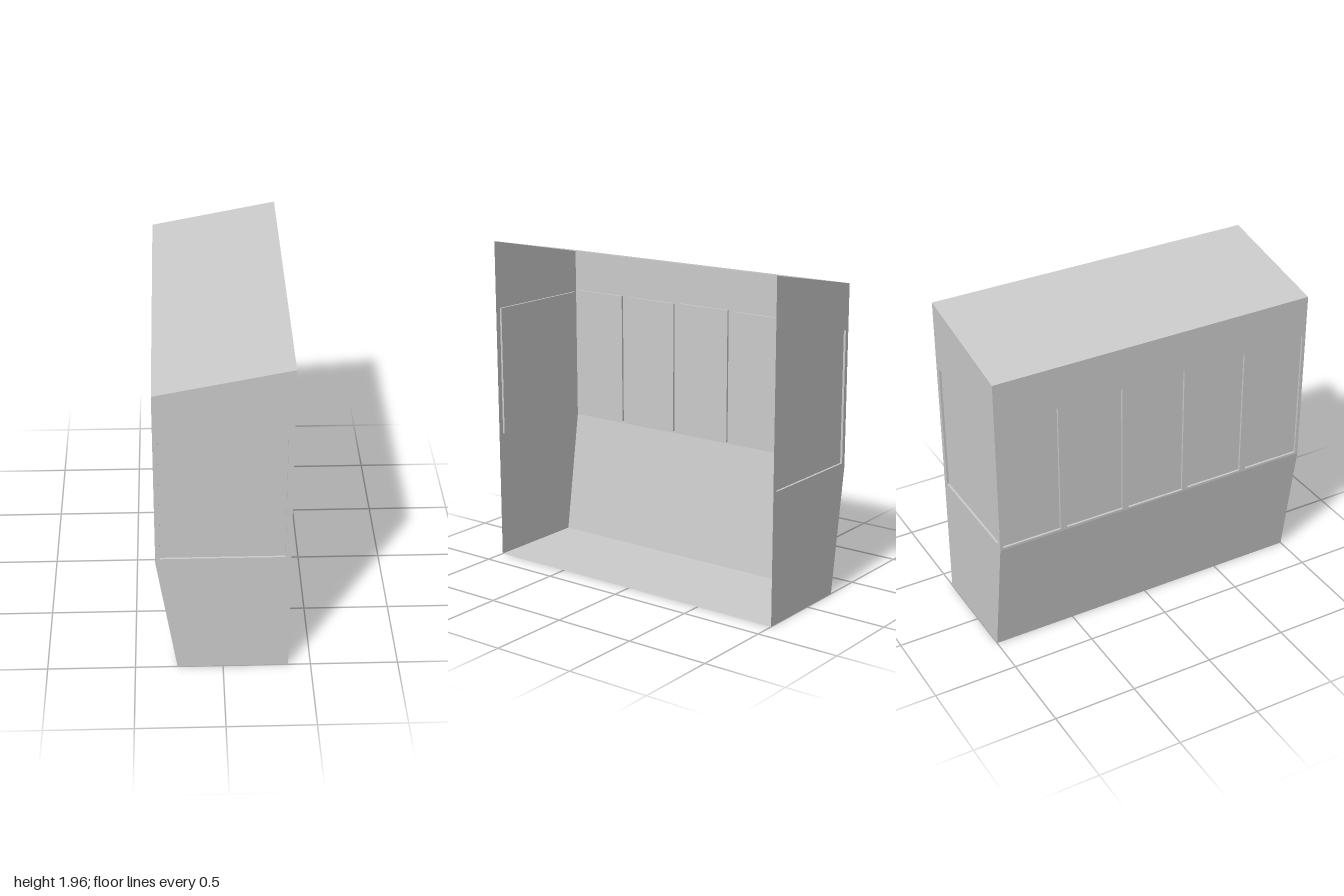
import * as THREE from 'three';

const W = 0.372;      // half width
const L = 1;          // half length
const BEND = 0.745;   // height where the long wall starts to lean in
const FOOT = -0.26;   // x of the long wall at the floor
const LOW = 1.815;    // roof height at the long wall
const HIGH = 1.96;    // roof height at the open side
const DEPTH = 0.013;  // window recess

const material = new THREE.MeshStandardMaterial({
  color: 0xcccccc, flatShading: true, side: THREE.DoubleSide,
});

function add(parent, name, geometry) {
  const mesh = new THREE.Mesh(geometry, material);
  mesh.name = name;
  parent.add(mesh);
  return mesh;
}

const loop = (points) => points.map(([x, y]) => new THREE.Vector2(x, y));

// Flat panel through four corners, counter-clockwise seen from its front
function quad(a, b, c, d) {
  const geometry = new THREE.BufferGeometry();
  geometry.setAttribute('position', new THREE.Float32BufferAttribute([...a, ...b, ...c, ...d], 3));
  geometry.setIndex([0, 1, 2, 0, 2, 3]);
  geometry.computeVertexNormals();
  return geometry;
}

// Wall facing +z with recessed windows, each given by its corner points
function wall(name, outline, windows) {
  const group = new THREE.Group();
  group.name = name;
  const shape = new THREE.Shape(loop(outline));
  windows.forEach((w) => shape.holes.push(new THREE.Path(loop(w))));
  add(group, 'wallPanel', new THREE.ShapeGeometry(shape));

  windows.forEach((w) => {
    const pane = add(group, 'windowPane', new THREE.ShapeGeometry(new THREE.Shape(loop(w))));
    pane.position.z = -DEPTH;
    // Reveals around the pane
    w.forEach((p, i) => {
      const q = w[(i + 1) % w.length];
      add(group, 'windowReveal', quad([...p, -DEPTH], [...q, -DEPTH], [...q, 0], [...p, 0]));
    });
  });
  return group;
}

const rect = (x0, x1, y0, y1) => [[x0, y0], [x1, y0], [x1, y1], [x0, y1]];

export function createModel() {
  const model = new THREE.Group();
  model.name = 'openSidedCabin';

  // End walls, the rear one turned round with its outline mirrored
  const profile = [[FOOT, 0], [W, 0], [W, HIGH], [-W, LOW], [-W, BEND]];
  const endWindow = rect(-0.345, 0.34, 0.772, 1.552);
  const mirror = (points) => points.map(([x, y]) => [-x, y]).reverse();

  const front = wall('frontWall', profile, [endWindow]);
  front.position.z = L;
  const back = wall('backWall', mirror(profile), [mirror(endWindow)]);
  back.rotation.y = Math.PI;
  back.position.z = -L;

  // Long wall with a row of five windows
  const windows = [];
  for (let i = -2; i <= 2; i++) {
    const extra = i === 0 ? 0.004 : 0;
    windows.push(rect(i * 0.4 - 0.18, i * 0.4 + 0.18, 0.76 - extra, 1.562 + extra));
  }
  const side = wall('sideWall', rect(-L, L, BEND, LOW), windows);
  side.rotation.y = -Math.PI / 2;
  side.position.x = -W;
  model.add(front, back, side);

  // Leaning lower wall, floor and sloping roof
  add(model, 'lowerSideWall', quad([FOOT, 0, -L], [FOOT, 0, L], [-W, BEND, L], [-W, BEND, -L]));
  add(model, 'floor', quad([FOOT, 0, -L], [W, 0, -L], [W, 0, L], [FOOT, 0, L]));
  add(model, 'roof', quad([-W, LOW, L], [W, HIGH, L], [W, HIGH, -L], [-W, LOW, -L]));

  return model;
}
